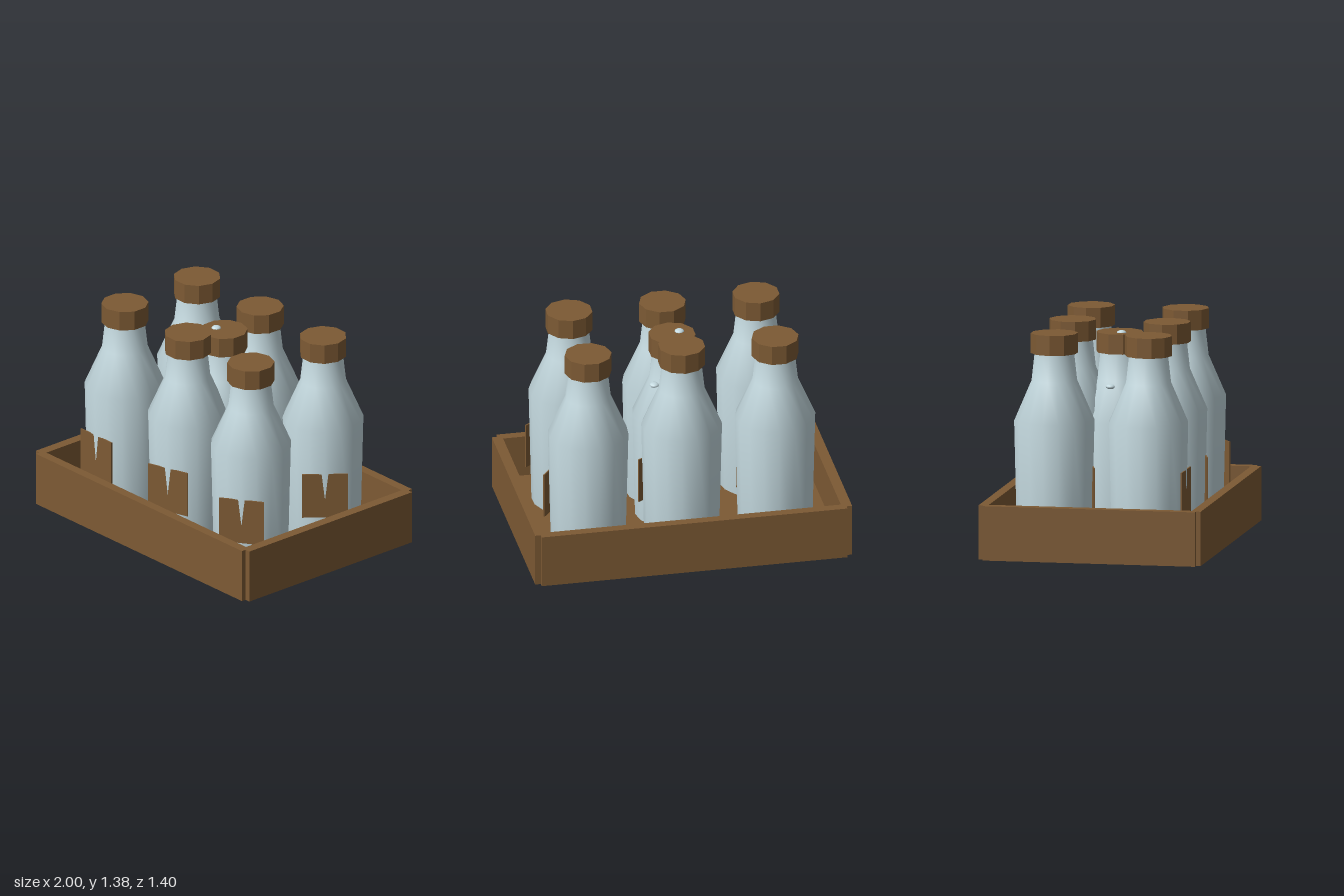
import * as THREE from 'three';

export function createModel() {
  const model = new THREE.Group();
  model.name = 'bottleCrate';
  const wood = new THREE.MeshStandardMaterial({ color: 0x7d5a34 });
  wood.name = 'brown wood';
  const glass = new THREE.MeshStandardMaterial({ color: 0xc4d9df });
  glass.name = 'pale glass';
  const FLOOR = 0.07;

  function add(parent, name, geometry, material, x = 0, y = 0, z = 0) {
    const mesh = new THREE.Mesh(geometry, material);
    mesh.name = name;
    mesh.position.set(x, y, z);
    parent.add(mesh);
    return mesh;
  }

  const polygon = (pts) => pts.map(([x, y]) => new THREE.Vector2(x, y));
  const rect = (w, d) => polygon([[-w, -d], [w, -d], [w, d], [-w, d]]);

  // Extrudes a ground plan upwards
  function slab(shape, height) {
    return new THREE.ExtrudeGeometry(shape, { depth: height, bevelEnabled: false, curveSegments: 16 })
      .rotateX(-Math.PI / 2);
  }

  // Crate walls with notched outer corners
  const walls = new THREE.Shape(polygon([
    [-0.965, -0.7], [0.965, -0.7], [0.965, -0.67], [1, -0.67],
    [1, 0.67], [0.965, 0.67], [0.965, 0.7], [-0.965, 0.7],
    [-0.965, 0.67], [-1, 0.67], [-1, -0.67], [-0.965, -0.67],
  ]));
  walls.holes.push(new THREE.Path(rect(0.935, 0.64)));
  add(model, 'crateWalls', slab(walls, 0.34), wood);

  // Crate floor with a round opening for the middle bottle
  const floor = new THREE.Shape(rect(0.935, 0.64));
  floor.holes.push(new THREE.Path().absarc(0, 0, 0.228, 0, Math.PI * 2, true));
  add(model, 'crateFloor', slab(floor, FLOOR), wood);

  // Shared bottle parts: hollowed base, tapering body, shoulder and neck
  const profile = polygon([
    [0, 0.05], [0.19, 0.045], [0.232, 0], [0.25, 0.76], [0.142, 1.01], [0.122, 1.19],
  ]);
  const bodyGeometry = new THREE.LatheGeometry(profile, 16);
  const capGeometry = new THREE.CylinderGeometry(0.147, 0.147, 0.125, 10).toNonIndexed();
  capGeometry.computeVertexNormals();

  // Label plate with a small split in its top edge
  const labelShape = new THREE.Shape(polygon([
    [-0.143, 0.18], [0.143, 0.18], [0.143, 0.472], [0.01, 0.472],
    [0.004, 0.45], [0, 0.385], [-0.004, 0.45], [-0.01, 0.472], [-0.143, 0.472],
  ]));
  const labelGeometry = new THREE.ExtrudeGeometry(labelShape, { depth: 0.009, bevelEnabled: false });

  function addBottle(name, x, y, z, turn) {
    const bottle = new THREE.Group();
    bottle.name = name;
    bottle.position.set(x, y, z);
    bottle.rotation.y = turn;
    add(bottle, 'bottleBody', bodyGeometry, glass);
    add(bottle, 'bottleCap', capGeometry, wood, 0, 1.2425, 0);
    add(bottle, 'bottleLabel', labelGeometry, wood, 0, 0, 0.23);
    model.add(bottle);
  }

  // Two rows of three, each turned a little further, and one in the middle
  for (let row = 0; row < 2; row++) {
    for (let col = 0; col < 3; col++) {
      addBottle('bottle', (col - 1) * 0.59, FLOOR, row ? -0.297 : 0.297, 0.3 * (row + col));
    }
  }
  addBottle('middleBottle', 0, 0, 0, 0);

  // Droplets on the middle bottle
  const dropGeometry = new THREE.SphereGeometry(0.03, 10, 8).scale(1, 0.5, 1);
  for (const [x, y, z] of [[-0.05, 1.305, 0.02], [0.13, 1.006, -0.09], [-0.15, 0.98, -0.03]]) {
    add(model, 'droplet', dropGeometry, glass, x, y, z);
  }
  return model;
}
